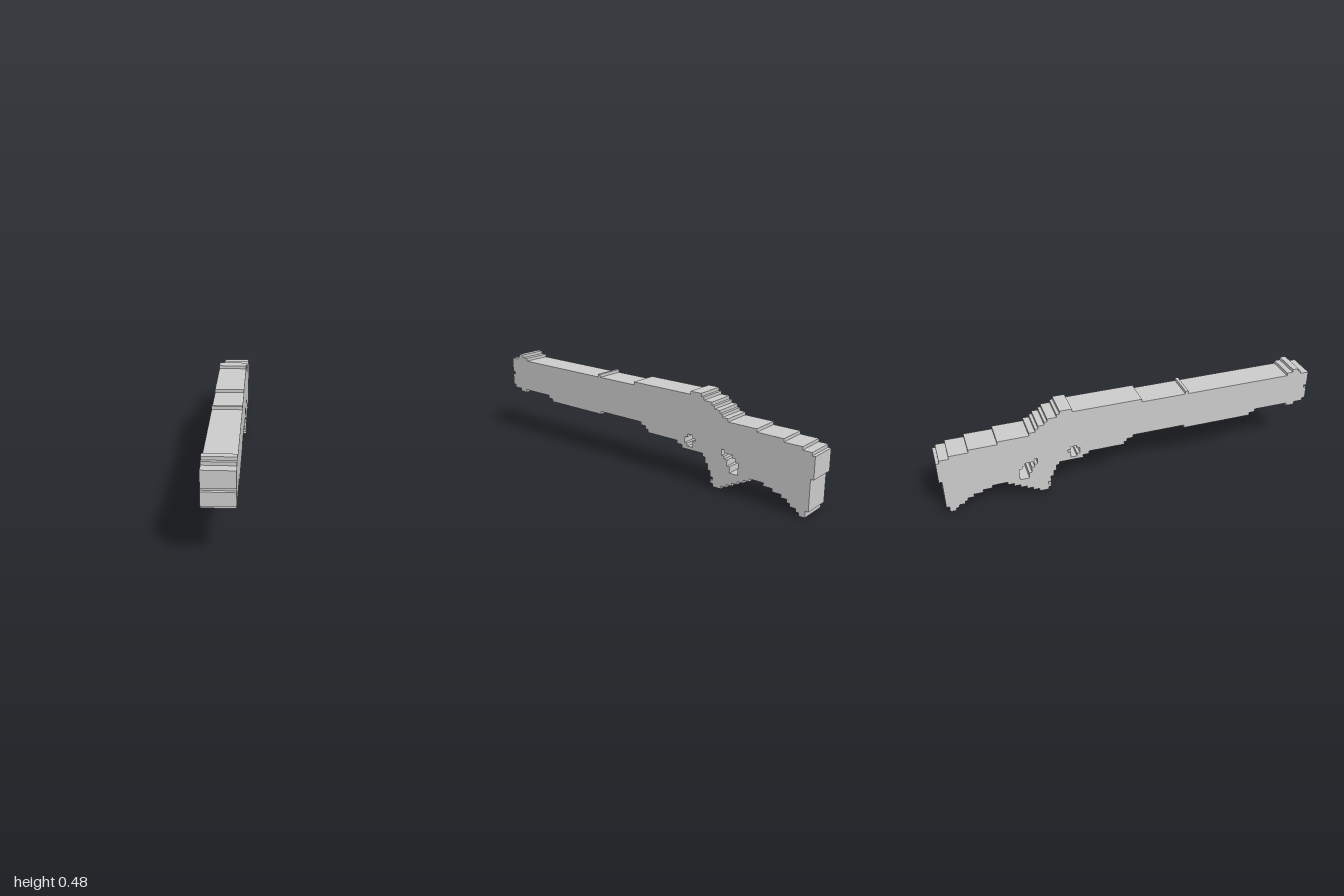
import * as THREE from 'three';

const CELL = 2 / 126;   // one step of the blocky side profile
const WIDTH = 0.148;

// Each pair [column, row]: go along to the column, then up or down to the row.
// Columns count from the muzzle backwards, rows count up from the ground.
const MUZZLE_AND_TOP = [
  [0, 22], [1, 23], [0, 28], [3, 29], [4, 30], [6, 29], [8, 28],
  [44, 29], [45, 28], [60, 29], [83, 30], [87, 29], [88, 28],
  [91, 27], [92, 26], [94, 25], [95, 24], [97, 23],
  [107, 22], [116, 21], [122, 20], [125, 19],
];
const BUTT = [
  [126, 12], [125, 2], [124, 0], [122, 1], [121, 2], [119, 3],
  [118, 4], [116, 5], [113, 6], [110, 7],
];
const GRIP = [
  [105, 6], [103, 5], [101, 4], [99, 3], [97, 2], [95, 1],
  [92, 2], [91, 3], [92, 4], [91, 6], [90, 8], [89, 10], [88, 11],
];
const UNDERSIDE = [
  [80, 12], [78, 13], [66, 14], [65, 15], [63, 16], [45, 15],
  [21, 16], [19, 17], [7, 16], [4, 17], [1, 18],
];
const TRIGGER_OPENING = [[82, 16], [84, 15], [85, 14], [84, 12], [82, 13], [81, 15]];
const GRIP_OPENING = [
  [95, 14], [96, 13], [99, 12], [100, 11], [101, 7], [98, 9], [97, 11], [96, 12],
];

// Turns column/row steps into a closed right-angled outline (z along, y up)
function stepOutline(steps) {
  const points = [];
  let row = steps[steps.length - 1][1];
  for (const [column, nextRow] of steps) {
    const z = 1 - column * CELL;
    points.push(new THREE.Vector2(z, row * CELL), new THREE.Vector2(z, nextRow * CELL));
    row = nextRow;
  }
  return points;
}

export function createModel() {
  const group = new THREE.Group();
  group.name = 'blockyLongGun';

  // Whole silhouette with the trigger and thumb openings cut through
  const shape = new THREE.Shape(
    stepOutline([...MUZZLE_AND_TOP, ...BUTT, ...GRIP, ...UNDERSIDE])
  );
  for (const opening of [TRIGGER_OPENING, GRIP_OPENING]) {
    shape.holes.push(new THREE.Path(stepOutline(opening)));
  }

  // Extrude sideways and centre across x
  const geometry = new THREE.ExtrudeGeometry(shape, { depth: WIDTH, bevelEnabled: false });
  geometry.translate(0, 0, -WIDTH / 2);
  geometry.rotateY(-Math.PI / 2);

  const body = new THREE.Mesh(
    geometry,
    new THREE.MeshStandardMaterial({ color: 0xcccccc, flatShading: true })
  );
  body.name = 'body';
  group.add(body);
  return group;
}
